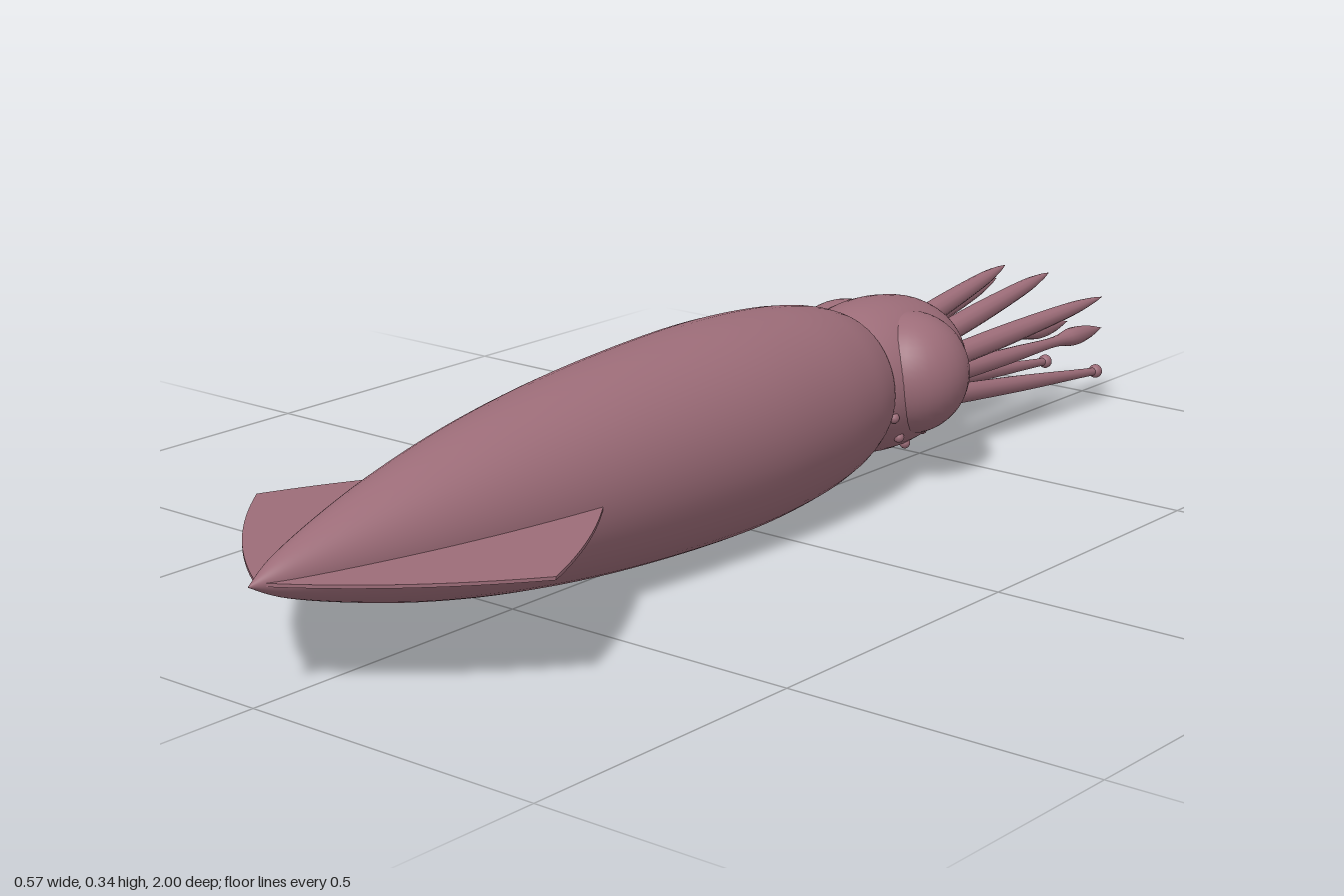
import * as THREE from 'three';

const MID = 0.17; // height of the body axis

export function createModel() {
  const squid = new THREE.Group();
  squid.name = 'squid';
  const skin = new THREE.MeshStandardMaterial({ color: 0x9c6c78, side: THREE.DoubleSide });
  skin.name = 'mauveSkin';

  function add(name, geometry, x = 0, y = 0, z = 0) {
    const mesh = new THREE.Mesh(geometry, skin);
    mesh.name = name;
    mesh.position.set(x, y, z);
    squid.add(mesh);
    return mesh;
  }

  // Smooth body of revolution along z, from [radius, z] pairs with z rising
  function spindle(points, samples) {
    const curve = new THREE.SplineCurve(points.map(([r, z]) => new THREE.Vector2(r, z)));
    const profile = curve.getPoints(samples).map(p => new THREE.Vector2(Math.max(p.x, 0), p.y));
    return new THREE.LatheGeometry(profile, 48).rotateX(Math.PI / 2);
  }

  // Mantle: long pointed torpedo with a rounded rim at the neck
  const mantle = add('mantle', spindle([
    [0.085, -0.27], [0.112, -0.277], [0.13, -0.245], [0.146, -0.19], [0.16, -0.1], [0.168, 0.04],
    [0.164, 0.2], [0.151, 0.38], [0.129, 0.55], [0.1, 0.7], [0.066, 0.83], [0.03, 0.94], [0, 1],
  ], 90), 0, MID, 0);
  mantle.scale.x = 0.965;

  // Head: rounded barrel
  add('head', spindle([
    [0, -0.535], [0.045, -0.533], [0.08, -0.515], [0.107, -0.47], [0.12, -0.42], [0.125, -0.36],
    [0.119, -0.3], [0.1, -0.25], [0.06, -0.22],
  ], 48), 0, MID, 0);

  // Arms: tapered round limbs along a gentle curve
  function limb(name, base, tip, radii) {
    const a = new THREE.Vector3(...base), b = new THREE.Vector3(...tip);
    const steps = 24, sides = 12;
    const length = a.distanceTo(b);
    const profile = new THREE.SplineCurve(radii.map(([t, r]) => new THREE.Vector2(r, t * length)))
      .getPoints(steps).map(p => new THREE.Vector2(Math.max(p.x, 0), p.y));
    const geometry = new THREE.LatheGeometry(profile, sides);
    const mesh = add(name, geometry, ...base);
    mesh.quaternion.setFromUnitVectors(new THREE.Vector3(0, 1, 0), b.sub(a).normalize());
  }
  const taper = [[0, 0.019], [0.35, 0.018], [0.75, 0.0125], [0.92, 0.006], [1, 0]];
  const club = [[0, 0.018], [0.4, 0.014], [0.68, 0.009], [0.8, 0.016], [0.9, 0.012], [1, 0]];
  const slim = [[0, 0.018], [0.5, 0.014], [0.9, 0.008], [1, 0.007]];

  // Fin outline, drawn in x and z
  const outline = new THREE.Shape();
  outline.moveTo(0.02, 0.44);
  outline.lineTo(0.125, 0.44);
  outline.quadraticCurveTo(0.225, 0.57, 0.287, 0.72);
  outline.quadraticCurveTo(0.16, 0.89, 0, 0.985);
  outline.closePath();

  for (const [side, s] of [['left', 1], ['right', -1]]) {
    // Eye bulge
    add(side + 'Eye', new THREE.SphereGeometry(0.1, 32, 24), s * 0.063, 0.18, -0.375);

    // Arms and feeding tentacles
    limb(side + 'UpperArm', [s * 0.035, 0.21, -0.5], [s * 0.045, 0.262, -0.81], taper);
    limb(side + 'OuterArm', [s * 0.066, 0.182, -0.5], [s * 0.11, 0.216, -0.88], taper);
    limb(side + 'ClubTentacle', [s * 0.04, 0.142, -0.5], [s * 0.036, 0.125, -1], club);
    limb(side + 'LowerArm', [s * 0.04, 0.108, -0.5], [s * 0.053, 0.057, -0.955], slim);
    add(side + 'LowerArmTip', new THREE.SphereGeometry(0.012, 14, 10), s * 0.053, 0.057, -0.957);

    // Skin bumps scattered below the eyes
    for (const [angle, z, r] of [[20, -0.28, 0.112], [42, -0.315, 0.121], [62, -0.375, 0.125],
      [35, -0.485, 0.1], [70, -0.45, 0.114], [80, -0.31, 0.12]]) {
      const t = THREE.MathUtils.degToRad(angle);
      add(side + 'SkinBump', new THREE.SphereGeometry(0.009, 12, 8),
        s * Math.cos(t) * r, MID - Math.sin(t) * r, z);
    }

    // Thin tail fin
    const fin = new THREE.ExtrudeGeometry(outline, { depth: 0.005, bevelEnabled: false, curveSegments: 16 });
    fin.rotateX(Math.PI / 2);
    if (s < 0) fin.rotateZ(Math.PI).translate(0, -0.005, 0);
    add(side + 'Fin', fin, 0, MID + 0.0025, 0);
  }
  return squid;
}
